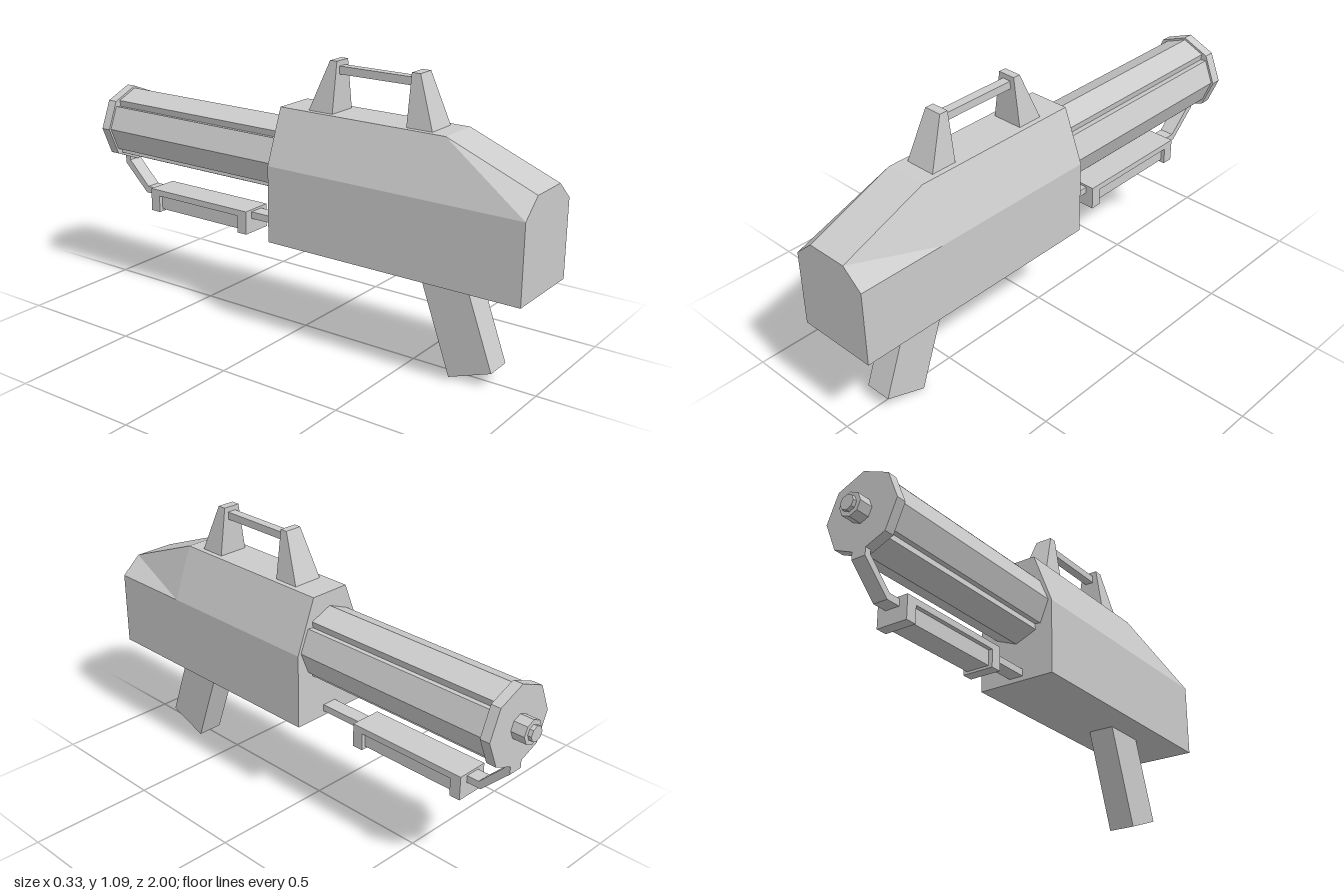
import * as THREE from 'three';

const mat = new THREE.MeshStandardMaterial({ color: 0xcccccc, flatShading: true });

function add(parent, name, geometry) {
  const mesh = new THREE.Mesh(geometry, mat);
  mesh.name = name;
  parent.add(mesh);
  return mesh;
}

// Box given by its limits along y and z, centred on x = 0
function box(halfX, y0, y1, z0, z1) {
  return new THREE.BoxGeometry(halfX * 2, y1 - y0, z1 - z0).translate(0, (y0 + y1) / 2, (z0 + z1) / 2);
}

// Convex cross-sections, counter-clockwise as seen from the end of the loft
function loft(sections) {
  const pos = [];
  const tri = (...corners) => corners.forEach((p) => pos.push(...p));
  const n = sections[0].length;
  for (let k = 0; k < sections.length - 1; k++) {
    const s = sections[k], t = sections[k + 1];
    for (let i = 0; i < n; i++) {
      const j = (i + 1) % n;
      tri(s[i], s[j], t[j]);
      tri(s[i], t[j], t[i]);
    }
  }
  const first = sections[0], last = sections[sections.length - 1];
  for (let i = 1; i < n - 1; i++) {
    tri(first[0], first[i + 1], first[i]);
    tri(last[0], last[i], last[i + 1]);
  }
  const g = new THREE.BufferGeometry();
  g.setAttribute('position', new THREE.Float32BufferAttribute(pos, 3));
  g.computeVertexNormals();
  return g;
}

// Side outline of [z, y] points extruded across x
function sideProfile(points, halfX) {
  const shape = new THREE.Shape(points.map(([z, y]) => new THREE.Vector2(z, y)));
  return new THREE.ExtrudeGeometry(shape, { depth: halfX * 2, bevelEnabled: false })
    .translate(0, 0, -halfX).rotateY(-Math.PI / 2);
}

// Octagonal disc along z with corners on the axes
function octagon(radius, z0, z1, y) {
  return new THREE.CylinderGeometry(radius, radius, z1 - z0, 8)
    .rotateX(Math.PI / 2).translate(0, y, (z0 + z1) / 2);
}

export function createModel() {
  const model = new THREE.Group();
  model.name = 'launcher';
  const axisY = 0.695;

  // Housing with chamfered top and sloping rear
  const section = (z, top) => [
    [-0.163, 0.39, z], [0.163, 0.39, z], [0.163, 0.69, z],
    [0.083, top, z], [-0.083, top, z], [-0.163, 0.69, z],
  ];
  add(model, 'housing', loft([section(-0.055, 0.9), section(0.65, 0.9), section(1, 0.76)]));

  // Octagonal barrel with a groove along each diagonal corner
  const barrelShape = new THREE.Shape();
  const quarter = [[0.148, 0], [0.111, 0.09], [0.086, 0.086], [0.09, 0.111]];
  const outline = [];
  for (let q = 0; q < 4; q++) {
    const c = Math.round(Math.cos(q * Math.PI / 2)), s = Math.round(Math.sin(q * Math.PI / 2));
    quarter.forEach(([x, y]) => outline.push(new THREE.Vector2(c * x - s * y, s * x + c * y)));
  }
  barrelShape.setFromPoints(outline);
  add(model, 'barrel', new THREE.ExtrudeGeometry(barrelShape, { depth: 0.85, bevelEnabled: false })
    .translate(0, axisY, -0.9));

  // Muzzle plate and stepped hub
  add(model, 'muzzlePlate', octagon(0.157, -0.93, -0.89, axisY));
  add(model, 'hub', octagon(0.047, -0.985, -0.925, axisY));
  add(model, 'hubTip', octagon(0.03, -1, -0.98, axisY));

  // Carrying handle: two tapered posts and a bar
  const handle = new THREE.Group();
  handle.name = 'carryHandle';
  model.add(handle);
  const post = (z0, z1, topZ0, topZ1) => {
    const ring = (h, y, a, b) => [[-h, y, b], [h, y, b], [h, y, a], [-h, y, a]];
    return loft([ring(0.062, 0.9, z0, z1), ring(0.035, 1.09, topZ0, topZ1)]);
  };
  add(handle, 'rearPost', post(0.48, 0.585, 0.48, 0.515));
  add(handle, 'frontPost', post(0.06, 0.165, 0.135, 0.165));
  add(handle, 'handleBar', box(0.018, 1.04, 1.07, 0.16, 0.485));

  // Raked pistol grip
  add(model, 'grip', sideProfile([[0.53, 0.42], [0.68, 0.003], [0.85, 0.065], [0.72, 0.42]], 0.054));

  // Under-barrel rail bent up to the muzzle plate
  add(model, 'rail', sideProfile([
    [-0.05, 0.408], [-0.815, 0.408], [-0.93, 0.52], [-0.93, 0.555],
    [-0.905, 0.555], [-0.905, 0.535], [-0.805, 0.436], [-0.05, 0.436],
  ], 0.03));

  // Fore grip: top plate, recessed core, end blocks
  const foreGrip = new THREE.Group();
  foreGrip.name = 'foreGrip';
  model.add(foreGrip);
  add(foreGrip, 'gripPlate', box(0.065, 0.42, 0.445, -0.755, -0.245));
  add(foreGrip, 'gripCore', box(0.048, 0.36, 0.425, -0.72, -0.28));
  for (const z of [-0.29, -0.755]) add(foreGrip, 'gripEnd', box(0.065, 0.35, 0.443, z, z + 0.045));

  return model;
}
